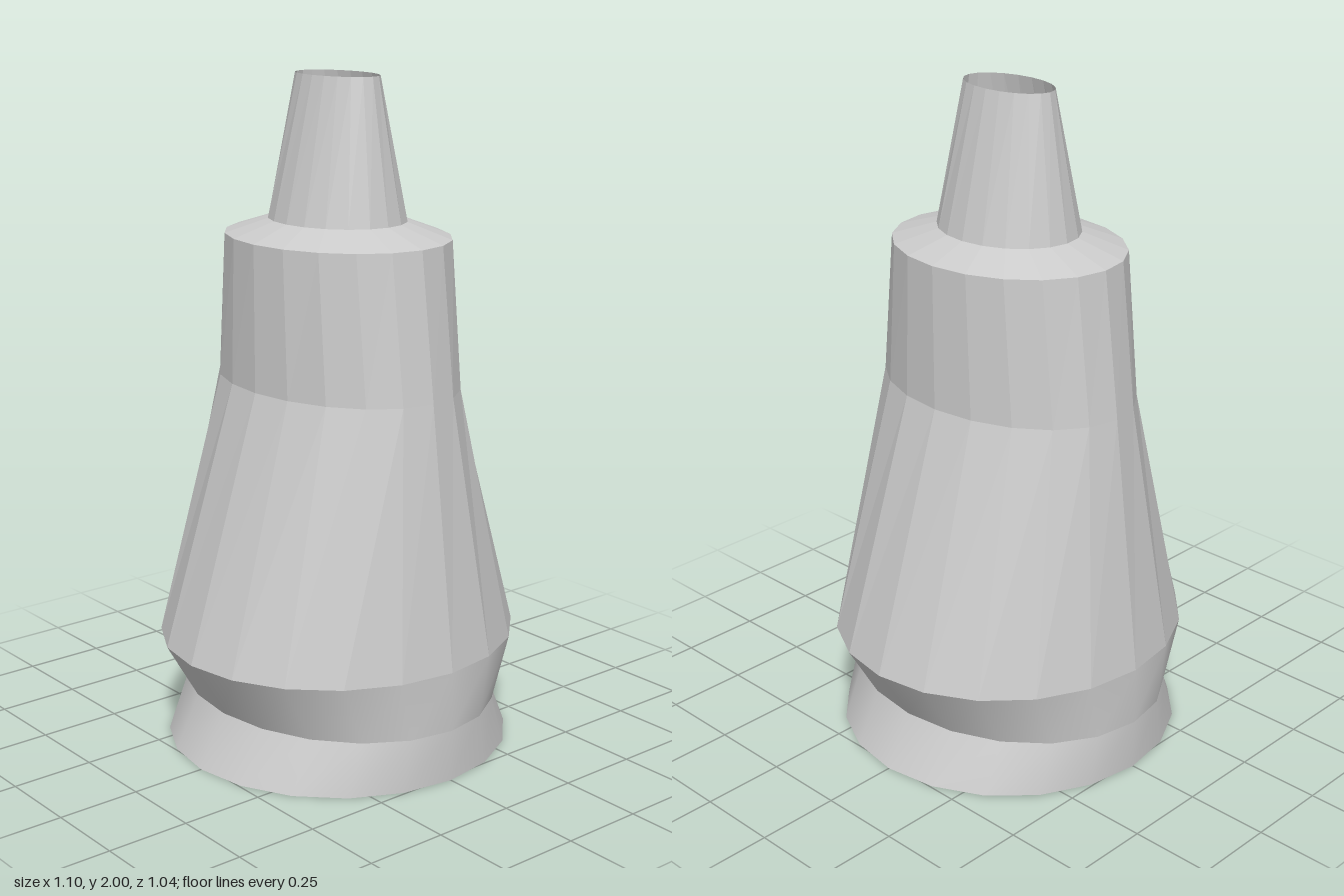
import * as THREE from 'three';

const SIDES = 20;

// Oval band between two rings [y, radiusX, radiusZ]
function ovalBand(lower, upper) {
  const positions = [];
  const index = [];
  for (const [y, rx, rz] of [lower, upper]) {
    for (let i = 0; i < SIDES; i++) {
      const t = (i / SIDES) * Math.PI * 2;
      positions.push(rx * Math.sin(t), y, rz * Math.cos(t));
    }
  }
  for (let i = 0; i < SIDES; i++) {
    const j = (i + 1) % SIDES;
    index.push(i, j, SIDES + j, i, SIDES + j, SIDES + i);
  }
  const geometry = new THREE.BufferGeometry();
  geometry.setAttribute('position', new THREE.Float32BufferAttribute(positions, 3));
  geometry.setIndex(index);
  geometry.computeVertexNormals();
  return geometry;
}

export function createModel() {
  const group = new THREE.Group();
  group.name = 'taperedNozzle';

  const options = { color: 0xcccccc, side: THREE.DoubleSide };
  const smooth = new THREE.MeshStandardMaterial(options);
  const faceted = new THREE.MeshStandardMaterial({ ...options, flatShading: true });

  function add(name, geometry, material) {
    const mesh = new THREE.Mesh(geometry, material);
    mesh.name = name;
    group.add(mesh);
  }

  // Rings from the foot to the open tip
  const rings = [
    [0, 0.52, 0.52],
    [0.155, 0.435, 0.52],
    [0.335, 0.548, 0.52],
    [1.11, 0.305, 0.424],
    [1.54, 0.305, 0.37],
    [1.585, 0.188, 0.226],
    [2, 0.092, 0.156],
  ];

  // Smooth foot and collar, faceted body, shoulder and spout
  const names = ['foot', 'collar', 'lowerBody', 'upperBody', 'shoulder', 'spout'];
  names.forEach((name, i) => {
    add(name, ovalBand(rings[i], rings[i + 1]), i < 2 ? smooth : faceted);
  });

  // Closed underside
  add('base', new THREE.CircleGeometry(0.52, SIDES).rotateX(Math.PI / 2), faceted);

  return group;
}
